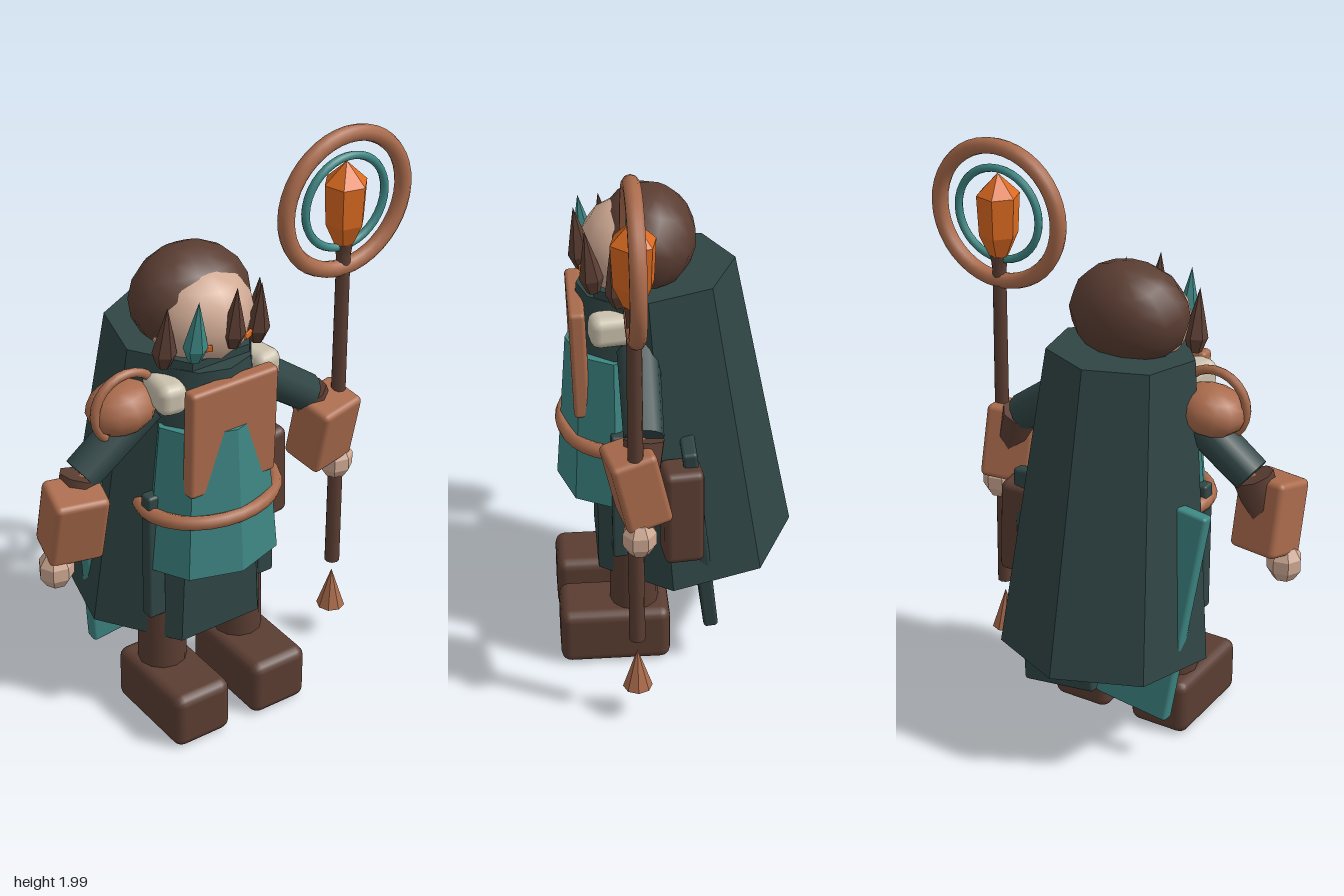
import * as THREE from 'three';
import { RoundedBoxGeometry } from 'three/addons/geometries/RoundedBoxGeometry.js';

const mat = (name, color) => {
  const m = new THREE.MeshStandardMaterial({ color });
  m.name = name;
  return m;
};

export function createModel() {
  const model = new THREE.Group();
  const dark = mat('dark green cloth', 0x304545);
  const teal = mat('teal cloth', 0x3d8683);
  const leather = mat('tan leather', 0xaa6b4c);
  const brown = mat('dark brown', 0x5a3d32);
  const skin = mat('skin', 0xd0aa94);
  const fur = mat('cream fur', 0xcbc2ae);
  const orange = mat('orange crystal', 0xdb6a20);
  const CX = -0.1; // the figure's own centre line

  const add = (name, geo, material, pos, rot = [0, 0, 0], scale = [1, 1, 1]) => {
    const mesh = new THREE.Mesh(geo, material);
    mesh.name = name;
    mesh.position.set(...pos);
    mesh.rotation.set(...rot);
    mesh.scale.set(...scale);
    model.add(mesh);
    return mesh;
  };
  const box = (w, h, d, r = 0.02) => new RoundedBoxGeometry(w, h, d, 2, r);
  const cyl = (top, bottom, h, n = 12) => new THREE.CylinderGeometry(top, bottom, h, n);
  const flat = (geo) => {
    const g = geo.index ? geo.toNonIndexed() : geo;
    g.computeVertexNormals();
    return g;
  };
  // Tapered rod between two points
  const rod = (name, a, b, ra, rb, material, n = 12) => {
    const p = new THREE.Vector3(...a), q = new THREE.Vector3(...b);
    const mesh = add(name, cyl(rb, ra, p.distanceTo(q), n), material, p.clone().add(q).multiplyScalar(0.5).toArray());
    mesh.quaternion.setFromUnitVectors(new THREE.Vector3(0, 1, 0), q.sub(p).normalize());
  };

  // Cloak: seven-sided taper, corner at the back, leaning forward
  add('cloak', flat(cyl(0.25, 0.36, 1.06, 7)), dark, [CX, 0.895, -0.005], [0.09, Math.PI, 0]).rotation.order = 'XYZ';

  // Tunic, collar, belt and chest plate
  add('tunic', flat(cyl(0.2, 0.25, 0.53, 8)), teal, [CX, 0.905, 0.21], [0, 0, 0], [1, 1, 0.76]);
  add('collar', cyl(0.17, 0.19, 0.22, 10), dark, [CX, 1.265, 0.15]);
  add('belt', new THREE.TorusGeometry(0.24, 0.026, 8, 28), leather, [CX, 0.855, 0.19], [Math.PI / 2, 0, 0], [1, 0.8, 1]);
  add('chestPlate', box(0.335, 0.395, 0.055, 0.015), leather, [CX, 1.145, 0.32], [0.03, 0, 0]);

  // Head, eyes and hair
  add('head', new THREE.SphereGeometry(0.18, 12, 8), skin, [CX, 1.5, 0.14], [0, 0, 0], [1, 0.95, 0.97]);
  add('hair', new THREE.SphereGeometry(0.208, 14, 9), brown, [CX, 1.535, 0.09], [-0.3, 0, 0], [1, 0.84, 0.8]);
  const lock = new THREE.LatheGeometry([[0, -0.1], [0.022, -0.1], [0.04, -0.05], [0.022, 0.03], [0, 0.12]]
    .map(([x, y]) => new THREE.Vector2(x, y)), 6);
  [[-0.28, 1.49, 0.22, brown], [-0.21, 1.52, 0.29, teal], [-0.08, 1.54, 0.31, brown],
    [0.035, 1.51, 0.28, brown], [0.085, 1.48, 0.2, brown]].forEach(([x, y, z, m]) =>
    add('hairLock', flat(lock), m, [x, y, z], [0.12, 0, 0]));

  // Mirrored parts
  for (const s of [-1, 1]) {
    const X = (d) => CX + s * d;
    add('eye', box(0.04, 0.022, 0.009, 0.003), orange, [X(0.08), 1.463, 0.3], [0, s * 0.45, 0]);
    add('furCollar', box(0.1, 0.11, 0.17, 0.035), fur, [X(0.175), 1.295, 0.205], [0, s * 0.15, 0]);
    add('robeStrip', box(0.065, 0.48, 0.05, 0.01), dark, [X(0.22), 0.68, 0.2], [0, 0, 0]);
    add('leg', cyl(0.08, 0.085, 0.3), brown, [X(0.157), 0.3, 0.15]);
    add('boot', box(0.22, 0.205, 0.38, 0.035), brown, [X(0.157), 0.108, 0.22]);

    // Arm, bracer and hand
    rod('upperArm', [X(0.2), 1.22, 0.13], [X(0.445), 1.04, 0.13], 0.07, 0.066, dark);
    rod('forearm', [X(0.45), 1.04, 0.13], [X(0.54), 0.78, 0.155], 0.07, 0.05, brown, 8);
    add('bracer', box(0.185, 0.26, 0.155, 0.02), leather, [X(0.5), 0.905, 0.16], [0.22, s * 0.2, 0]);
    add('hand', flat(new THREE.SphereGeometry(0.066, 7, 5)), skin, [X(0.565), 0.74, 0.155], [0, 0, 0], [0.95, 1.08, 0.9]);

    // Hanging cloth tail behind the hips
    add('cloakTail', box(0.28, 0.78, 0.05, 0.012), s < 0 ? teal : dark,
      [X(0.19), s < 0 ? 0.565 : 0.55, -0.065], [0.11, 0, -s * 0.12]);
  }

  // Shoulder guard with hoop, on the right arm
  add('shoulderGuard', new THREE.SphereGeometry(0.12, 12, 8), leather, [-0.39, 1.24, 0.13], [0, 0, 0.15], [1, 0.7, 0.9]);
  add('shoulderHoop', new THREE.TorusGeometry(0.12, 0.016, 8, 24), leather, [-0.385, 1.25, 0.155]);

  // Hip pouch
  add('pouch', box(0.13, 0.345, 0.135, 0.025), brown, [0.26, 0.695, 0], [0, 0.1, 0.03]);

  // Staff: shaft, tip, rings and crystal
  const SX = 0.457, SZ = 0.165;
  add('staffShaft', cyl(0.024, 0.027, 1.31, 10), brown, [SX, 0.98, SZ]);
  add('staffSocket', cyl(0.035, 0.02, 0.12, 6), brown, [SX, 1.565, SZ]);
  add('staffTip', flat(cyl(0, 0.05, 0.15, 8)), leather, [SX, 0.205, SZ]);
  add('outerRing', new THREE.TorusGeometry(0.237, 0.028, 10, 40), leather, [SX, 1.735, SZ]);
  add('innerRing', new THREE.TorusGeometry(0.16, 0.014, 8, 36), teal, [SX, 1.735, SZ]);
  const crystal = new THREE.LatheGeometry([[0, -0.15], [0.035, -0.135], [0.068, -0.06], [0.075, 0.08], [0, 0.155]]
    .map(([x, y]) => new THREE.Vector2(x, y)), 6);
  add('crystal', flat(crystal), orange, [SX, 1.725, SZ], [0, 0.3, 0]);

  return model;
}
